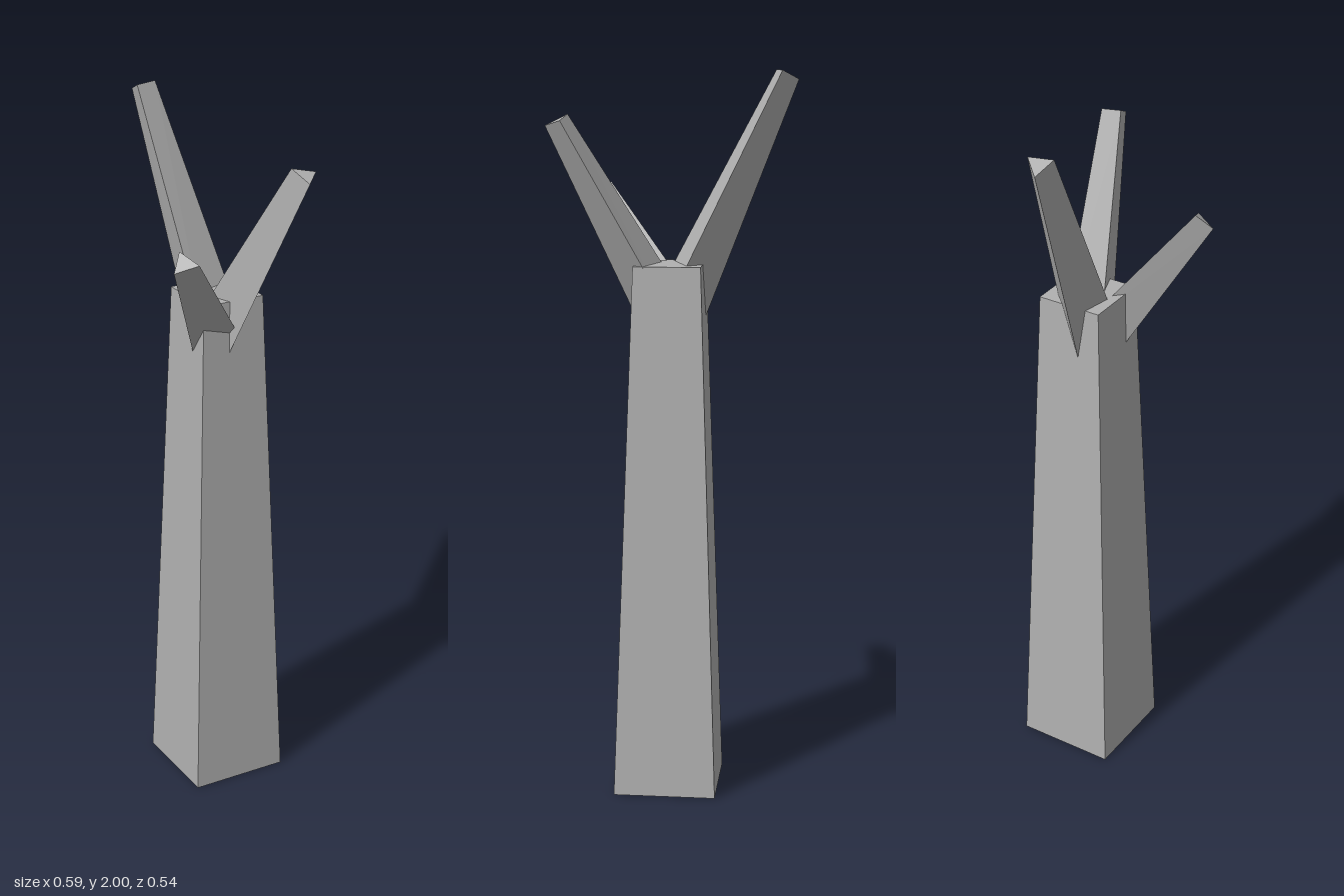
import * as THREE from 'three';

const bark = new THREE.MeshStandardMaterial({ color: 0xb0b0b0, flatShading: true });
bark.name = 'bark grey';

// Three-sided tapered prism between a tip triangle and a root triangle
function branch(name, tip, root) {
  const corners = [...tip, ...root];
  const faces = [[0, 2, 1], [3, 4, 5]];
  for (let i = 0; i < 3; i++) {
    const j = (i + 1) % 3;
    faces.push([i, j, j + 3], [i, j + 3, i + 3]);
  }
  const geometry = new THREE.BufferGeometry();
  const positions = faces.flat().flatMap((i) => corners[i]);
  geometry.setAttribute('position', new THREE.Float32BufferAttribute(positions, 3));
  geometry.computeVertexNormals();
  const mesh = new THREE.Mesh(geometry, bark);
  mesh.name = name;
  return mesh;
}

export function createModel() {
  const model = new THREE.Group();
  model.name = 'bareTree';

  // Four-sided tapering trunk, set corner to the front
  const trunk = new THREE.Mesh(new THREE.CylinderGeometry(0.13, 0.2, 1.48, 4), bark);
  trunk.name = 'trunk';
  trunk.position.set(0, 0.74, -0.07);
  model.add(trunk);

  // Branches rooted inside the trunk top
  model.add(
    branch('rightBranch',
      [[-0.295, 1.975, -0.26], [-0.23, 2.0, -0.265], [-0.262, 2.0, -0.205]],
      [[-0.08, 1.302, -0.11], [0.066, 1.35, -0.121], [0, 1.35, 0.016]]),
    branch('leftBranch',
      [[0.293, 1.87, 0.033], [0.293, 1.855, 0.1], [0.237, 1.885, 0.073]],
      [[0.04, 1.325, -0.138], [0.04, 1.295, 0.002], [-0.078, 1.36, -0.055]]),
    branch('frontBranch',
      [[-0.021, 1.685, 0.216], [0.04, 1.66, 0.241], [-0.021, 1.64, 0.266]],
      [[-0.045, 1.378, -0.125], [0.085, 1.32, -0.071], [-0.045, 1.28, -0.018]]),
  );
  return model;
}
